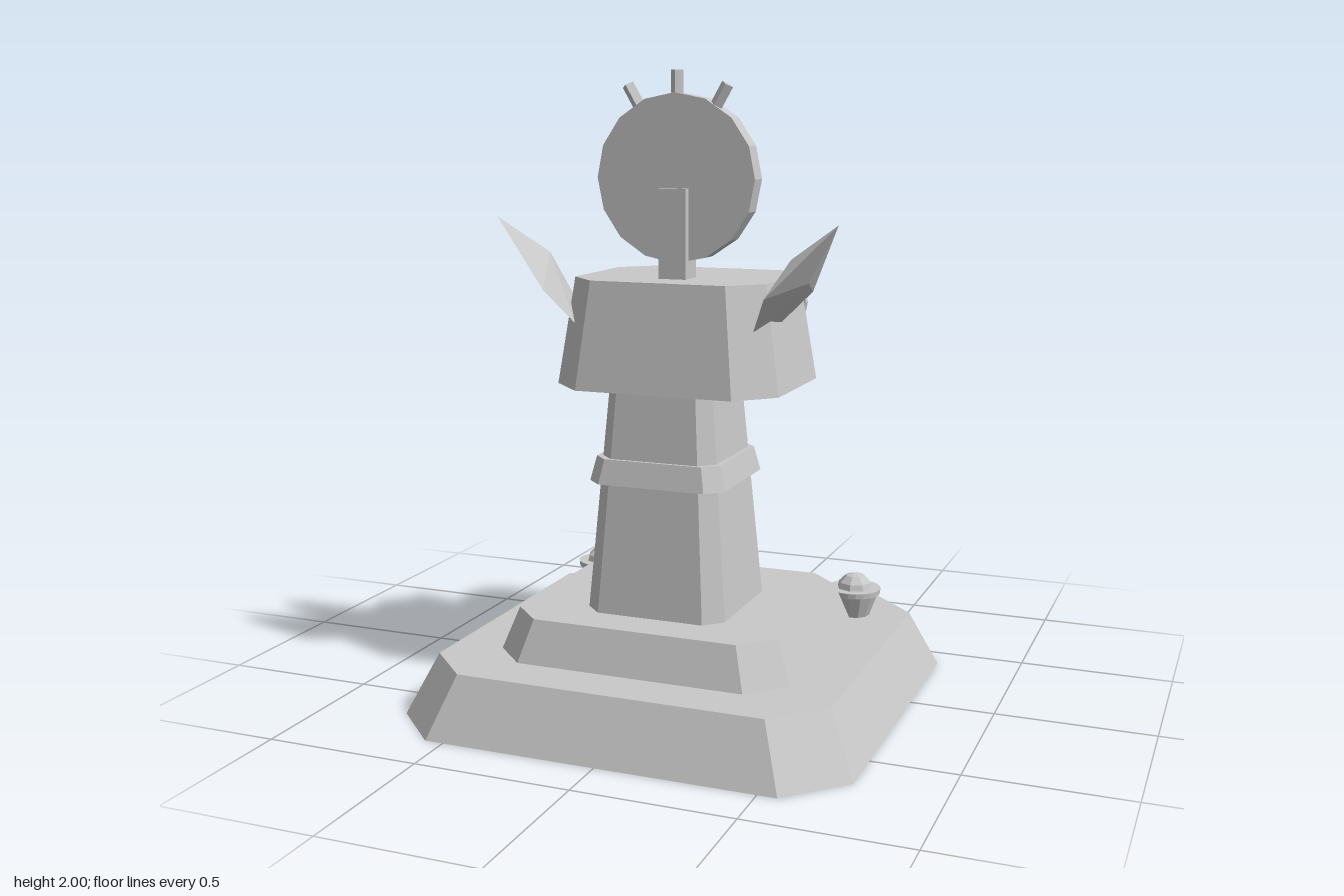
import * as THREE from 'three';
import { ConvexGeometry } from 'three/addons/geometries/ConvexGeometry.js';

// The blocks are open underneath, so both sides show
const stone = new THREE.MeshStandardMaterial({ color: 0xc8c8c8, side: THREE.DoubleSide });
stone.name = 'grey stone';

// Faceted normals for every part
function flat(geometry) {
  const g = geometry.index ? geometry.toNonIndexed() : geometry;
  g.computeVertexNormals();
  return g;
}

function add(parent, name, geometry, x = 0, y = 0, z = 0) {
  const mesh = new THREE.Mesh(flat(geometry), stone);
  mesh.name = name;
  mesh.position.set(x, y, z);
  parent.add(mesh);
  return mesh;
}

// Geometry from four-cornered faces, corners counter-clockwise from outside
function quads(faces) {
  const p = [];
  for (const [a, b, c, d] of faces) p.push(...a, ...b, ...c, ...a, ...c, ...d);
  const g = new THREE.BufferGeometry();
  g.setAttribute('position', new THREE.Float32BufferAttribute(p, 3));
  return g;
}

// Tapered block with cut corners, open below: half width, half depth, corner cut, top scale
function block(hx, hz, cut, scale, y0, y1) {
  const plan = [
    [hx, hz - cut], [hx, cut - hz], [hx - cut, -hz], [cut - hx, -hz],
    [-hx, cut - hz], [-hx, hz - cut], [cut - hx, hz], [hx - cut, hz],
  ];
  const ring = (y, s) => plan.map(([x, z]) => [x * s, y, z * s]);
  const lo = ring(y0, 1), hi = ring(y1, scale), faces = [];
  for (let i = 0; i < 8; i++) {
    const j = (i + 1) % 8;
    faces.push([lo[i], lo[j], hi[j], hi[i]]);
  }
  for (const i of [1, 3, 5]) faces.push([hi[0], hi[i], hi[i + 1], hi[i + 2]]);
  return quads(faces);
}

// Disc whose axis runs along z
function disc(radius, depth, sides, turn = 0) {
  return new THREE.CylinderGeometry(radius, radius, depth, sides)
    .rotateX(Math.PI / 2).rotateZ(turn);
}

// Flight of full-height steps, open underneath
function stairs(w, count, height, zTop, zFirst, zEnd) {
  const faces = [];
  const run = (zFirst - zEnd) / (count - 1);
  for (let i = 0; i < count; i++) {
    const y = height * (1 - i / count);
    const z0 = i === 0 ? zTop : zFirst - (i - 1) * run;
    const z1 = zFirst - i * run;
    faces.push([[-w, y, z0], [w, y, z0], [w, y, z1], [-w, y, z1]]);
    faces.push([[w, 0, z1], [-w, 0, z1], [-w, y, z1], [w, y, z1]]);
    faces.push([[w, 0, z0], [w, 0, z1], [w, y, z1], [w, y, z0]]);
    faces.push([[-w, 0, z1], [-w, 0, z0], [-w, y, z0], [-w, y, z1]]);
  }
  return quads(faces);
}

export function createModel() {
  const model = new THREE.Group();
  model.name = 'tower';

  // Stepped plinth, column and head
  add(model, 'base', block(0.73, 0.70, 0.17, 0.88, 0, 0.19), 0, 0, 0.14);
  add(model, 'upperBase', block(0.48, 0.44, 0.11, 0.9, 0.19, 0.322), 0, 0, 0.16);
  add(model, 'column', block(0.23, 0.23, 0.055, 0.75, 0.322, 1.02), 0, 0, 0.195);
  add(model, 'columnBand', block(0.225, 0.217, 0.05, 0.92, 0.732, 0.81), 0, 0, 0.196);
  add(model, 'head', block(0.37, 0.305, 0.112, 0.86, 1.02, 1.36), 0, 0, 0.093);
  add(model, 'rearBay', block(0.215, 0.265, 0.066, 0.79, 1.047, 1.222), 0, 0, -0.19);
  add(model, 'stairs', stairs(0.27, 7, 0.19, -0.47, -0.525, -0.845));

  // Studs down the sloping back of the column
  for (const y of [0.46, 0.555, 0.65]) {
    const z = -0.035 + (y - 0.322) * 0.0824;
    const stud = add(model, 'columnStud', disc(0.035, 0.012, 12), 0, y, z);
    stud.rotation.x = 0.083;
  }

  // Wheel on its post
  add(model, 'wheelPost', new THREE.BoxGeometry(0.09, 0.28, 0.09), 0, 1.5, 0.185);
  const wheel = new THREE.Group();
  wheel.name = 'wheel';
  wheel.position.set(0, 1.67, 0);
  model.add(wheel);
  add(wheel, 'wheelDisc', disc(0.262, 0.066, 16), 0, 0, 0.172);
  add(wheel, 'wheelRing', disc(0.131, 0.03, 10, Math.PI / 10), 0, 0, 0.126);
  add(wheel, 'wheelHub', disc(0.052, 0.02, 10, Math.PI / 10), 0, 0, 0.102);
  for (const angle of [-Math.PI / 6, 0, Math.PI / 6]) {
    const peg = add(wheel, 'wheelPeg', new THREE.CylinderGeometry(0.02, 0.02, 0.09, 4),
      -Math.sin(angle) * 0.285, Math.cos(angle) * 0.285, 0.183);
    peg.rotation.z = angle;
  }

  // Paired parts
  for (const side of [1, -1]) {
    const label = side > 0 ? 'left' : 'right';

    // Pointed crystal wing
    const points = [
      [0.56, 1.547, 0.317], [0.43, 1.33, 0.14], [0.36, 1.33, 0.403], [0.295, 1.217, 0.31],
      [0.33, 1.227, 0.165], [0.40, 1.437, 0.27], [0.46, 1.37, 0.28],
    ].map(([x, y, z]) => new THREE.Vector3(x * side, y, z));
    add(model, label + 'Wing', new ConvexGeometry(points));

    // Round plate beside the rear bay
    add(model, label + 'Plate', disc(0.071, 0.024, 16), side * 0.236, 1.255, -0.191);

    // Bowl holding a ball
    const lamp = new THREE.Group();
    lamp.name = label + 'Lamp';
    lamp.position.set(side * 0.468, 0.19, -0.255);
    model.add(lamp);
    add(lamp, 'bowl', new THREE.CylinderGeometry(0.08, 0.052, 0.077, 12), 0, 0.0385, 0);
    add(lamp, 'bowlRim', new THREE.CylinderGeometry(0.088, 0.086, 0.018, 20), 0, 0.084, 0);
    add(lamp, 'ball', new THREE.SphereGeometry(0.062, 8, 6), 0, 0.082, 0);
  }

  return model;
}
